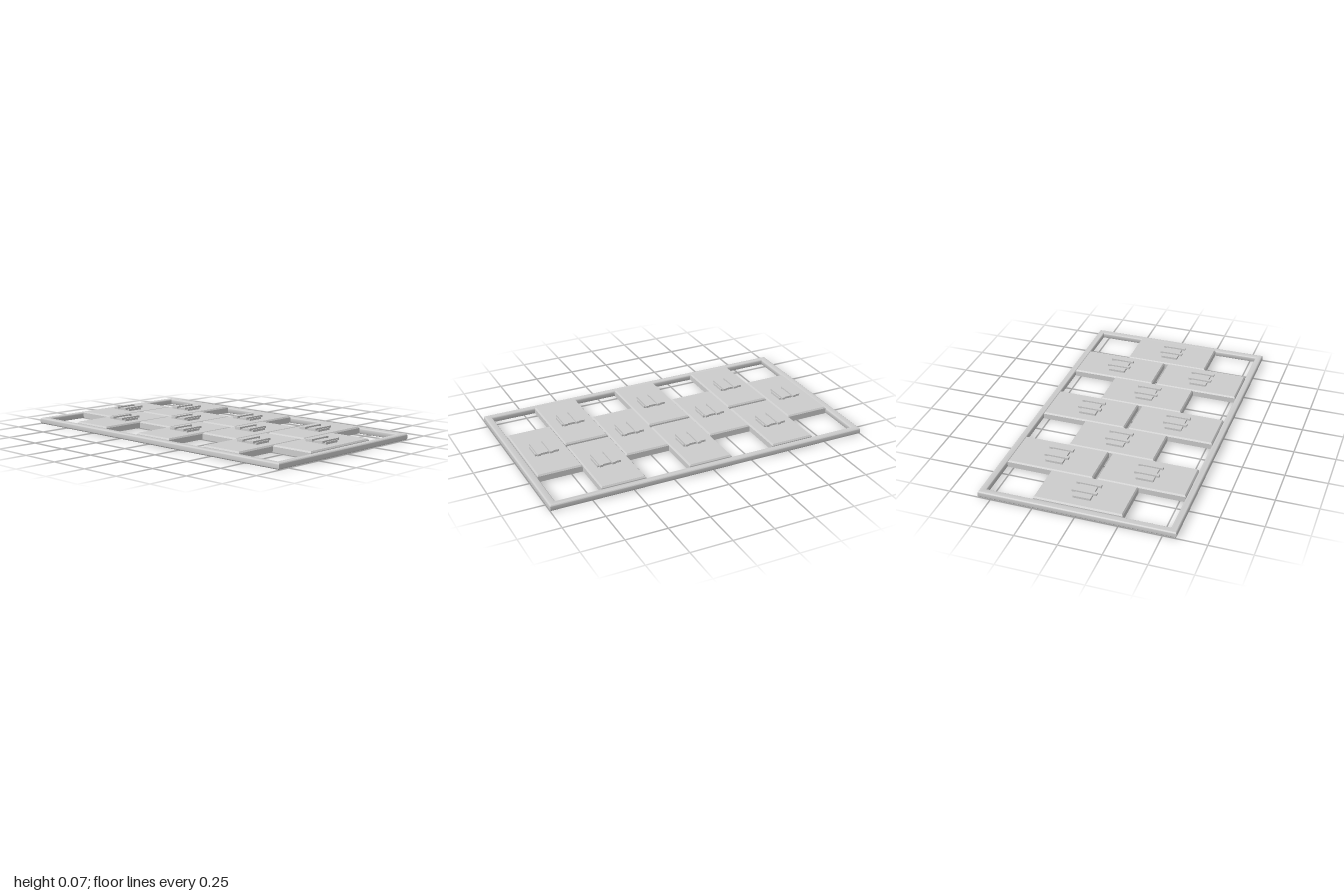
import * as THREE from 'three';
import { toCreasedNormals } from 'three/addons/utils/BufferGeometryUtils.js';

const material = new THREE.MeshStandardMaterial({ color: 0xcccccc });

function rectangle(Target, halfX, halfZ) {
  const path = new Target();
  path.moveTo(-halfX, -halfZ);
  path.lineTo(halfX, -halfZ);
  path.lineTo(halfX, halfZ);
  path.lineTo(-halfX, halfZ);
  path.closePath();
  return path;
}

// Rectangular border with rounded edges
function frameGeometry() {
  const height = 0.037, bevel = 0.009;
  const shape = rectangle(THREE.Shape, 0.577, 1);
  shape.holes.push(rectangle(THREE.Path, 0.536, 0.957));
  const geometry = new THREE.ExtrudeGeometry(shape, {
    depth: height - 2 * bevel, bevelThickness: bevel, bevelSize: bevel,
    bevelOffset: -bevel, bevelSegments: 4,
  });
  geometry.rotateX(-Math.PI / 2).translate(0, bevel, 0);
  return toCreasedNormals(geometry, 0.6);
}

// Flat tile whose top edge is chamfered
function tileGeometry() {
  const width = 0.523, depth = 0.272, bottom = 0.004, top = 0.046, inset = 0.007;
  const geometry = new THREE.BoxGeometry(width, top - bottom, depth, 1, 2, 1);
  geometry.translate(0, (top + bottom) / 2, 0);
  const p = geometry.attributes.position;
  for (let i = 0; i < p.count; i++) {
    if (p.getY(i) > top - 0.001) {
      p.setX(i, p.getX(i) - Math.sign(p.getX(i)) * inset);
      p.setZ(i, p.getZ(i) - Math.sign(p.getZ(i)) * inset);
    } else if (p.getY(i) > bottom + 0.001) {
      p.setY(i, top - 0.009);
    }
  }
  return toCreasedNormals(geometry, 0.3);
}

export function createModel() {
  const model = new THREE.Group();
  const add = (parent, name, geometry, x = 0, y = 0, z = 0) => {
    const mesh = new THREE.Mesh(geometry, material);
    mesh.name = name;
    mesh.position.set(x, y, z);
    parent.add(mesh);
  };

  add(model, 'frame', frameGeometry());

  const tile = tileGeometry();
  const clipBase = new THREE.BoxGeometry(0.104, 0.014, 0.146);
  const clipBar = new THREE.BoxGeometry(0.147, 0.013, 0.021);

  // Seven rows alternating between one and two tiles
  for (let row = -3; row <= 3; row++) {
    const columns = row % 2 ? [0] : [-0.2735, 0.2735];
    for (const x of columns) {
      const unit = new THREE.Group();
      unit.name = 'tileWithClip';
      unit.position.set(x, 0, row * 0.273);
      add(unit, 'tile', tile);
      add(unit, 'clipBase', clipBase, 0, 0.052, 0);
      for (const z of [-0.022, 0.055]) add(unit, 'clipBar', clipBar, 0, 0.0615, z);
      model.add(unit);
    }
  }
  return model;
}
